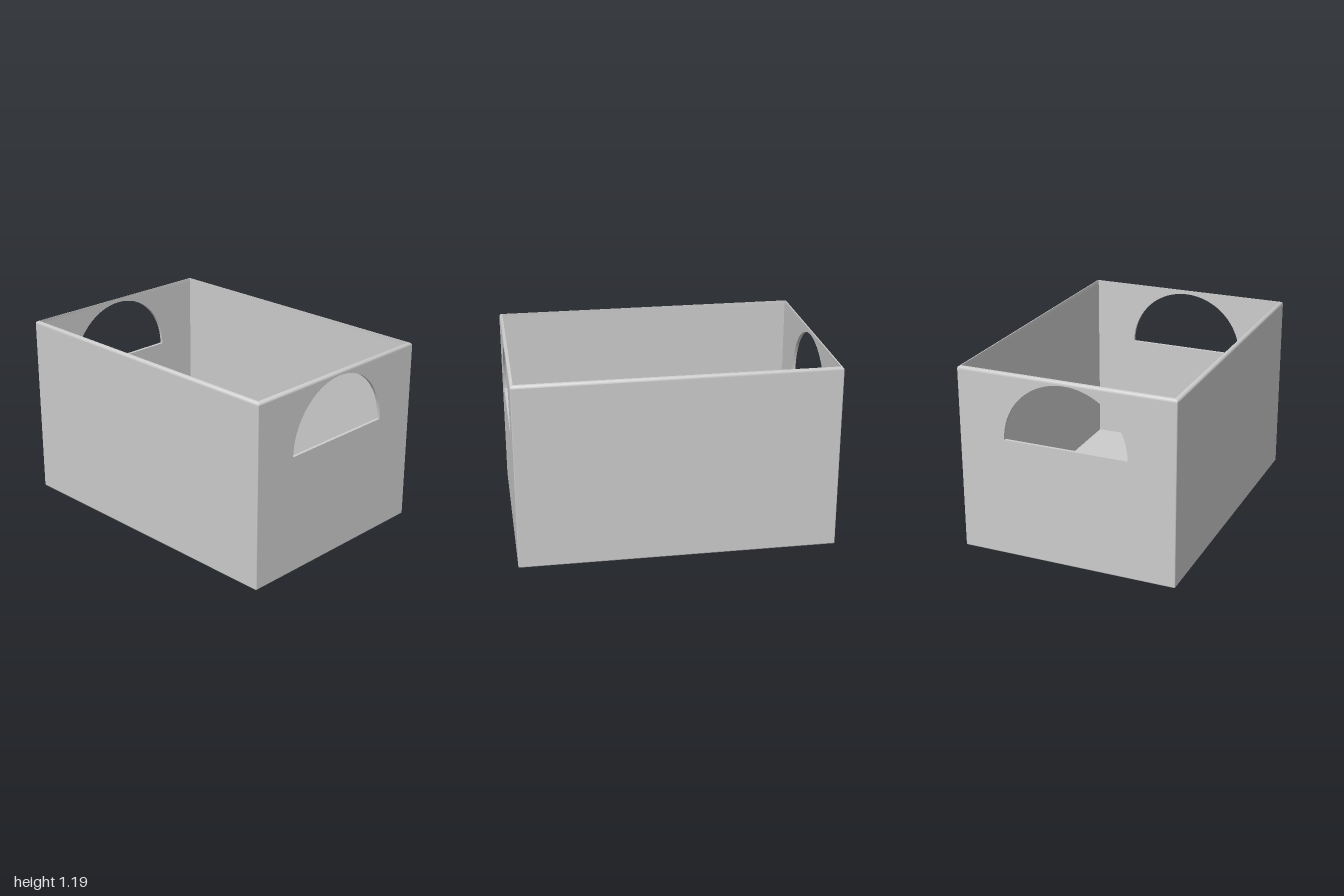
import * as THREE from 'three';
import { toCreasedNormals } from 'three/addons/utils/BufferGeometryUtils.js';

const HX = 1, HZ = 0.7, H = 1.19; // half width, half depth, height
const T = 0.02;                   // wall thickness and rim radius
const R = 0.007;                  // small edge rounding

// Rounded rectangle loop, inset from the outer faces, at height y
function loop(inset, y) {
  const r = Math.max(R - inset, 0.001), pts = [];
  const x = HX - inset - r, z = HZ - inset - r;
  [[1, 1], [-1, 1], [-1, -1], [1, -1]].forEach(([sx, sz], q) => {
    for (let i = 0; i <= 4; i++) {
      const a = (q + i / 4) * Math.PI / 2;
      pts.push([sx * x + r * Math.cos(a), y, sz * z + r * Math.sin(a)]);
    }
  });
  return pts;
}

// Skin through [inset, y] sections
function loft(sections) {
  const loops = sections.map(([inset, y]) => loop(inset, y));
  const n = loops[0].length, index = [];
  for (let i = 0; i < loops.length - 1; i++) {
    for (let j = 0; j < n; j++) {
      const a = i * n + j, b = i * n + (j + 1) % n, c = a + n, d = b + n;
      index.push(a, c, b, b, c, d);
    }
  }
  const geo = new THREE.BufferGeometry();
  geo.setAttribute('position', new THREE.Float32BufferAttribute(loops.flat(2), 3));
  geo.setIndex(index);
  return toCreasedNormals(geo, 0.7);
}

export function createModel() {
  const group = new THREE.Group();
  const material = new THREE.MeshStandardMaterial({ color: 0xcccccc });
  const add = (name, geo, x = 0, y = 0, z = 0) => {
    const mesh = new THREE.Mesh(geo, material);
    mesh.name = name;
    mesh.position.set(x, y, z);
    group.add(mesh);
  };
  const top = H - T, wallH = top - R, midY = (top + R) / 2;

  // Floor
  add('floor', new THREE.BoxGeometry(2 * (HX - R), T, 2 * (HZ - R)), 0, T / 2, 0);

  // Long walls
  const longWall = new THREE.BoxGeometry(2 * (HX - R), wallH, T);
  add('frontWall', longWall, 0, midY, HZ - T / 2);
  add('backWall', longWall, 0, midY, -HZ + T / 2);

  // Short walls with half-round hand holes
  const w = HZ - R;
  const shape = new THREE.Shape();
  shape.moveTo(-w, R).lineTo(w, R).lineTo(w, top).lineTo(-w, top).closePath();
  const hole = new THREE.Path();
  hole.absarc(0, 0.763, 0.4, 0, Math.PI, false);
  hole.closePath();
  shape.holes.push(hole);
  const side = toCreasedNormals(
    new THREE.ExtrudeGeometry(shape, { depth: T, bevelEnabled: false, curveSegments: 48 }), 0.6);
  side.rotateY(Math.PI / 2);
  add('leftHandleWall', side, HX - T);
  add('rightHandleWall', side, -HX);

  // Rounded upright corners
  const corner = new THREE.CylinderGeometry(R, R, wallH, 16);
  for (const sx of [-1, 1]) for (const sz of [-1, 1])
    add('cornerEdge', corner, sx * (HX - R), midY, sz * (HZ - R));

  // Rounded bottom edge
  const base = [];
  for (let i = 0; i <= 4; i++) {
    const a = i / 4 * Math.PI / 2;
    base.push([R * (1 - Math.sin(a)), R * (1 - Math.cos(a))]);
  }
  add('bottomEdge', loft(base));

  // Rim: rounded outside, square inside
  const rim = [];
  for (let i = 0; i <= 8; i++) {
    const a = i / 8 * Math.PI / 2;
    rim.push([T * (1 - Math.cos(a)), top + T * Math.sin(a)]);
  }
  rim.push([T, top]);
  add('rim', loft(rim));

  return group;
}
